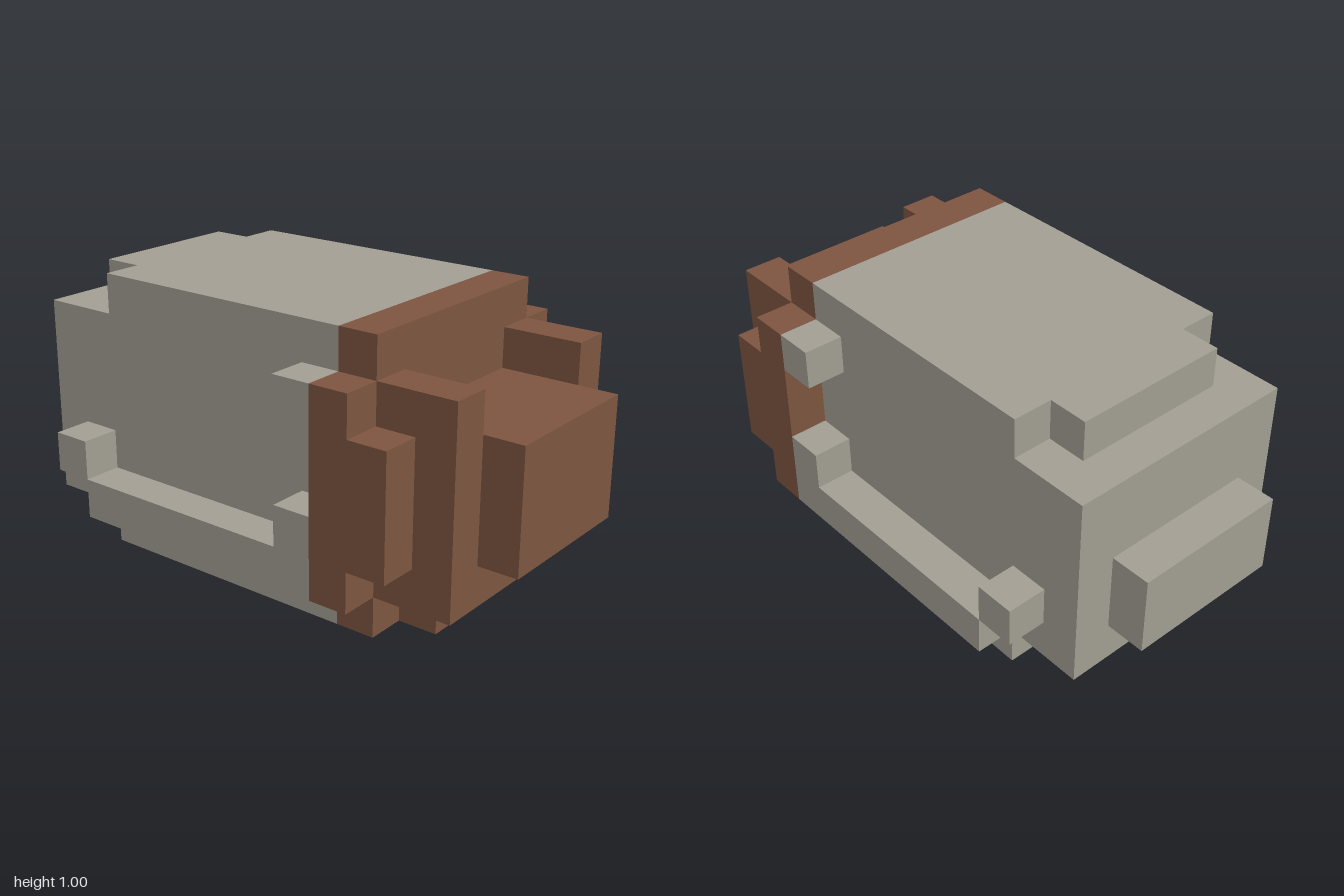
import * as THREE from 'three';

// One block of the grid
const U = 1 / 7;

export function createModel() {
  const brown = new THREE.MeshStandardMaterial({ name: 'brown', color: 0x7d5540 });
  const grey = new THREE.MeshStandardMaterial({ name: 'warm grey', color: 0xa29e92 });
  const model = new THREE.Group();
  model.name = 'blockModel';

  // Box spanning the given block ranges
  function block(name, material, [x0, x1], [y0, y1], [z0, z1]) {
    const geometry = new THREE.BoxGeometry((x1 - x0) * U, (y1 - y0) * U, (z1 - z0) * U);
    const mesh = new THREE.Mesh(geometry, material);
    mesh.name = name;
    mesh.position.set((x0 + x1) / 2 * U, (y0 + y1) / 2 * U, (z0 + z1) / 2 * U);
    model.add(mesh);
  }

  // The same box on both sides
  function pair(name, material, [x0, x1], y, z) {
    block(name + 'Left', material, [x0, x1], y, z);
    block(name + 'Right', material, [-x1, -x0], y, z);
  }

  // Grey body with stepped back, top and underside
  block('body', grey, [-3, 3], [1, 6], [-6, 3]);
  block('back', grey, [-3, 3], [6, 7], [-4, 3]);
  block('backStep', grey, [-2, 2], [6, 7], [-5, -4]);
  block('belly', grey, [-3, 3], [0, 1], [-4, 3]);
  block('bellyStep', grey, [-2, 2], [0, 1], [-5, -4]);
  block('tail', grey, [-2, 2], [2, 4], [-7, -6]);

  // Brown head
  block('collar', brown, [-3, 3], [0, 7], [3, 4]);
  block('face', brown, [-3, 3], [1, 5], [4, 6]);
  block('chin', brown, [-2, 2], [0, 1], [4, 5]);
  block('snout', brown, [-2, 2], [2, 5], [6, 7]);
  pair('brow', brown, [2, 3], [5, 6], [4, 6]);
  pair('cheekBack', brown, [3, 4], [1, 6], [3, 4]);
  pair('cheekFront', brown, [3, 4], [2, 5], [4, 5]);

  // Grey trim along the sides
  pair('sideRail', grey, [3, 4], [1, 2], [-4, 3]);
  pair('railFront', grey, [3, 4], [2, 3], [2, 3]);
  pair('railBack', grey, [3, 4], [2, 3], [-5, -4]);
  pair('shoulderKnob', grey, [3, 4], [5, 6], [2, 3]);

  return model;
}
